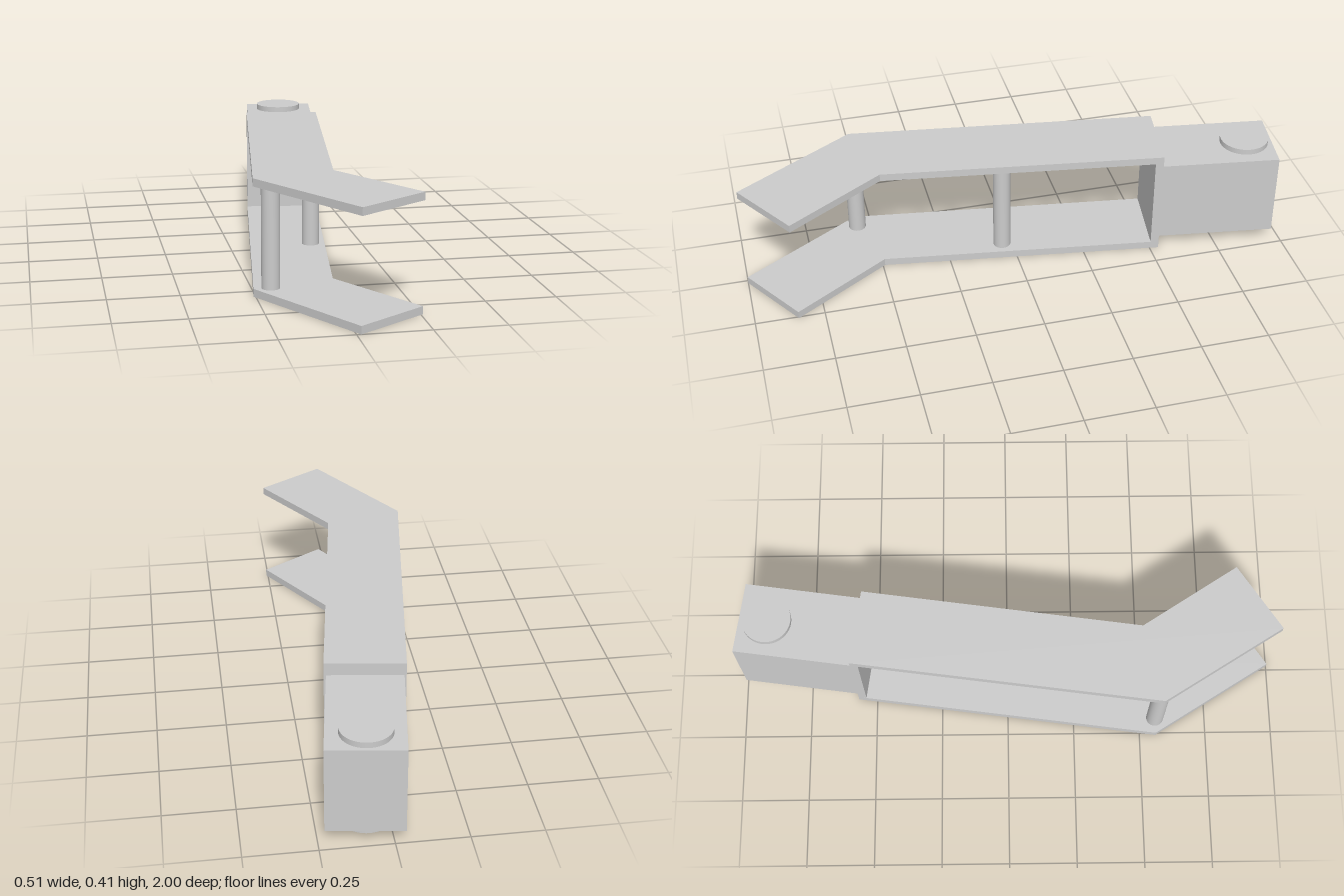
import * as THREE from 'three';

const material = new THREE.MeshStandardMaterial({ color: 0xcccccc });

// Upright prism from a plan outline of [x, z] points between two heights
function prism(name, outline, y0, y1) {
  const shape = new THREE.Shape(outline.map(([x, z]) => new THREE.Vector2(x, -z)));
  const geo = new THREE.ExtrudeGeometry(shape, { depth: y1 - y0, bevelEnabled: false });
  geo.rotateX(-Math.PI / 2).translate(0, y0, 0);
  const mesh = new THREE.Mesh(geo, material);
  mesh.name = name;
  return mesh;
}

function cylinder(name, x, z, radius, y0, y1) {
  const mesh = new THREE.Mesh(new THREE.CylinderGeometry(radius, radius, y1 - y0, 48), material);
  mesh.position.set(x, (y0 + y1) / 2, z);
  mesh.name = name;
  return mesh;
}

export function createModel() {
  const group = new THREE.Group();
  group.name = 'bentForkArm';

  const top = 0.413, thick = 0.028;

  // Pair of bent plates
  const plate = [
    [-0.103, -0.571], [-0.258, 0.56], [0.015, 1.0],
    [0.257, 0.845], [0.031, 0.492], [0.175, -0.533],
  ];
  group.add(prism('lowerPlate', plate, 0, thick));
  group.add(prism('upperPlate', plate, top - thick, top));

  // Wall joining the plates at the rear
  const wall = [[-0.103, -0.571], [-0.107, -0.541], [0.171, -0.503], [0.175, -0.533]];
  group.add(prism('endWall', wall, thick, top - thick));

  // Solid block behind the wall
  const block = [[-0.036, -1.0], [-0.096, -0.57], [0.167, -0.534], [0.228, -0.964]];
  group.add(prism('hingeBlock', block, 0.048, 0.367));

  // Pivot pin showing as a disc above and below the block
  group.add(cylinder('pivotPin', 0.08, -0.88, 0.09, 0.028, 0.388));

  // Spacer pins between the plates
  group.add(cylinder('cornerSpacer', -0.198, 0.558, 0.032, thick, top - thick));
  group.add(cylinder('middleSpacer', 0.04, 0.045, 0.032, thick, top - thick));

  return group;
}
